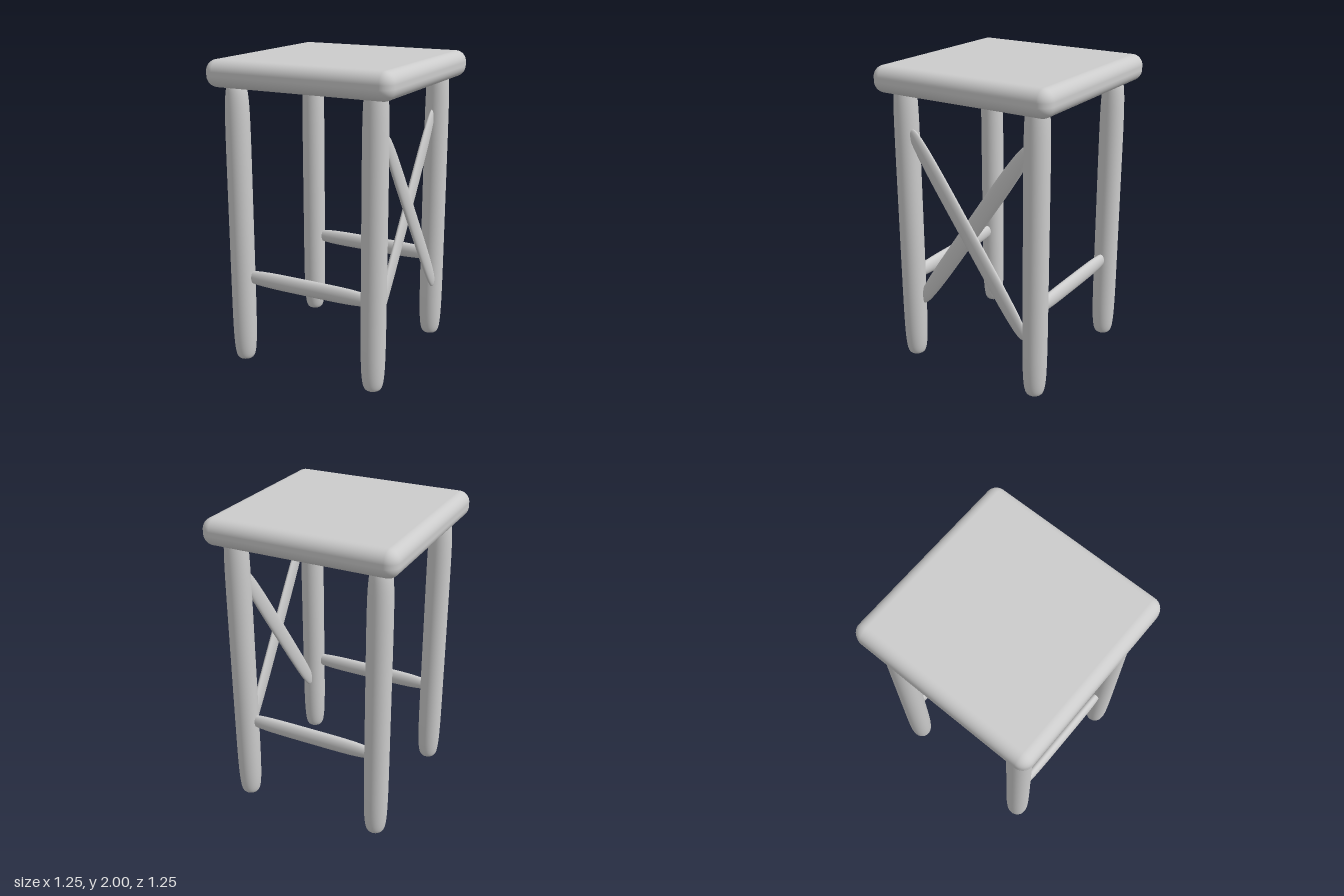
import * as THREE from 'three';
import { RoundedBoxGeometry } from 'three/addons/geometries/RoundedBoxGeometry.js';

const material = new THREE.MeshStandardMaterial({ color: 0xcccccc });

// Turned spindle along y, centred on the origin; a higher power gives blunter ends
function spindle(halfLength, radiusX, radiusZ, power) {
  const profile = [];
  const steps = 48;
  for (let i = 0; i <= steps; i++) {
    const t = (i / steps - 0.5) * Math.PI;
    const r = i === 0 || i === steps ? 0 : Math.pow(Math.cos(t), 2 / power);
    const y = Math.sign(t) * Math.pow(Math.abs(Math.sin(t)), 2 / power);
    profile.push(new THREE.Vector2(r, y * halfLength));
  }
  return new THREE.LatheGeometry(profile, 40).scale(radiusX, 1, radiusZ);
}

export function createModel() {
  const model = new THREE.Group();
  model.name = 'stool';

  function add(name, geometry, x, y, z) {
    const mesh = new THREE.Mesh(geometry, material);
    mesh.name = name;
    mesh.position.set(x, y, z);
    model.add(mesh);
    return mesh;
  }

  // Seat: thick square cushion with rounded edges
  add('seat', new RoundedBoxGeometry(1.25, 0.17, 1.25, 8, 0.072), 0, 1.915, 0);

  // Legs: the left pair reaches deeper into the seat
  for (const [side, x, half] of [['left', 0.47, 0.963], ['right', -0.477, 0.927]]) {
    for (const [end, z] of [['Front', 0.476], ['Back', -0.471]]) {
      add(side + end + 'Leg', spindle(half, 0.079, 0.079, 6.67), x, half, z);
    }
  }

  // Rungs between the left and right legs
  for (const [name, z] of [['frontRung', 0.473], ['backRung', -0.471]]) {
    add(name, spindle(0.45, 0.054, 0.033, 4), 0, 0.588, z).rotation.z = Math.PI / 2;
  }

  // Crossed flat braces on the left side, one outside the other
  const tilt = Math.atan2(0.8, 1.16);
  for (const [name, x, y, sign] of [['outerBrace', 0.505, 0.995, 1], ['innerBrace', 0.464, 1.01, -1]]) {
    add(name, spindle(0.735, 0.022, 0.057, 4), x, y, 0).rotation.x = sign * tilt;
  }

  return model;
}
